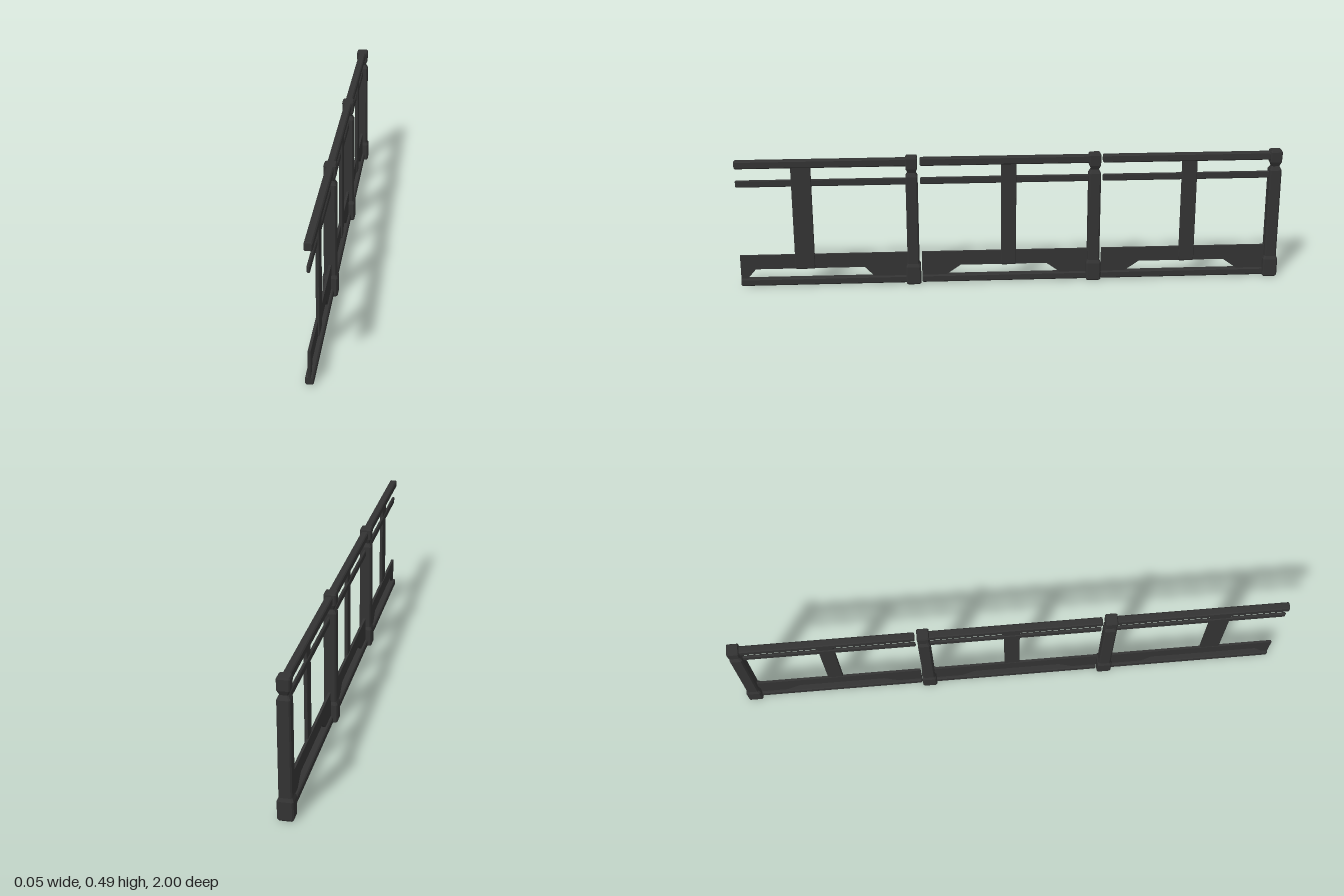
import * as THREE from 'three';

const material = new THREE.MeshStandardMaterial({ color: 0x333333, flatShading: true });

// Stack of chamfered rectangles along y; each ring is [y, halfX, halfZ, chamfer]
function loft(rings) {
  const geo = new THREE.BufferGeometry();
  const pos = [], index = [];
  for (const [y, a, b, c] of rings) {
    const corners = [[a, b - c], [a - c, b], [c - a, b], [-a, b - c],
      [-a, c - b], [c - a, -b], [a - c, -b], [a, c - b]];
    for (const [x, z] of corners) pos.push(x, y, z);
  }
  for (let r = 0; r < rings.length - 1; r++) {
    for (let i = 0; i < 8; i++) {
      const p = r * 8 + i, q = r * 8 + (i + 1) % 8;
      index.push(p, p + 8, q, q, p + 8, q + 8);
    }
  }
  const top = (rings.length - 1) * 8;
  for (let i = 1; i < 7; i++) {
    index.push(0, i, i + 1);
    index.push(top, top + i + 1, top + i);
  }
  geo.setAttribute('position', new THREE.Float32BufferAttribute(pos, 3));
  geo.setIndex(index);
  const flat = geo.toNonIndexed();
  flat.computeVertexNormals();
  return flat;
}

// Bevelled bar of a given length, centred on the origin and running along y
function bar(length, a, b, c, bevel = 0.004) {
  const h = length / 2, e = bevel * 0.6;
  return loft([
    [-h, a - e, b - e, c], [-h + bevel, a, b, c],
    [h - bevel, a, b, c], [h, a - e, b - e, c],
  ]);
}

function add(parent, name, geometry, x = 0, y = 0, z = 0) {
  const mesh = new THREE.Mesh(geometry, material);
  mesh.name = name;
  mesh.position.set(x, y, z);
  parent.add(mesh);
}

// Square post with a thick foot, a pinched neck and a block head
const postGeometry = loft([
  [0, 0.024, 0.024, 0.005], [0.005, 0.027, 0.027, 0.005],
  [0.068, 0.027, 0.027, 0.005], [0.08, 0.022, 0.022, 0.005],
  [0.415, 0.022, 0.022, 0.005], [0.43, 0.014, 0.014, 0.004],
  [0.446, 0.021, 0.021, 0.004], [0.484, 0.022, 0.022, 0.004],
  [0.49, 0.019, 0.019, 0.004],
]);

// Skirting board whose lower edge has a trapezoid opening, drawn in z and y
function boardGeometry(z0, z1, cut) {
  const [a, b, c, d] = cut;
  const shape = new THREE.Shape([
    [z0, 0.12], [z0, 0.025], [a, 0.025], [b, 0.066],
    [c, 0.066], [d, 0.025], [z1, 0.025], [z1, 0.12],
  ].map(([z, y]) => new THREE.Vector2(z, y)));
  const geo = new THREE.ExtrudeGeometry(shape, { depth: 0.009, bevelEnabled: false });
  return geo.translate(0, 0, -0.0045).rotateY(-Math.PI / 2);
}

// One bay of the railing: post at the back, rails, board and upright slat
function createBay({ front, post, slat, slatHalf, cut }) {
  const bay = new THREE.Group();
  bay.name = 'railingBay';
  add(bay, 'post', postGeometry, 0, 0, post);
  const back = post + 0.005, length = front - back, mid = (front + back) / 2;
  const rail = (name, halfX, halfY, chamfer, y) =>
    add(bay, name, bar(length, halfX, halfY, chamfer).rotateX(Math.PI / 2), 0, y, mid);
  rail('topRail', 0.0135, 0.0145, 0.004, 0.469);
  rail('middleRail', 0.005, 0.013, 0.003, 0.396);
  rail('bottomRail', 0.0135, 0.0135, 0.004, 0.0165);
  add(bay, 'skirtingBoard', boardGeometry(front, back, cut));
  add(bay, 'slat', bar(0.398, 0.006, slatHalf, 0.002), 0.004, 0.264, slat);
  return bay;
}

export function createModel() {
  const railing = new THREE.Group();
  railing.name = 'railing';
  const bays = [
    { front: 1, post: 0.364, slat: 0.763, slatHalf: 0.036, cut: [0.98, 0.945, 0.545, 0.505] },
    { front: 0.333, post: -0.305, slat: 0.011, slatHalf: 0.028, cut: [0.25, 0.19, -0.13, -0.187] },
    { front: -0.335, post: -0.973, slat: -0.655, slatHalf: 0.028, cut: [-0.417, -0.477, -0.797, -0.855] },
  ];
  for (const bay of bays) railing.add(createBay(bay));
  return railing;
}
